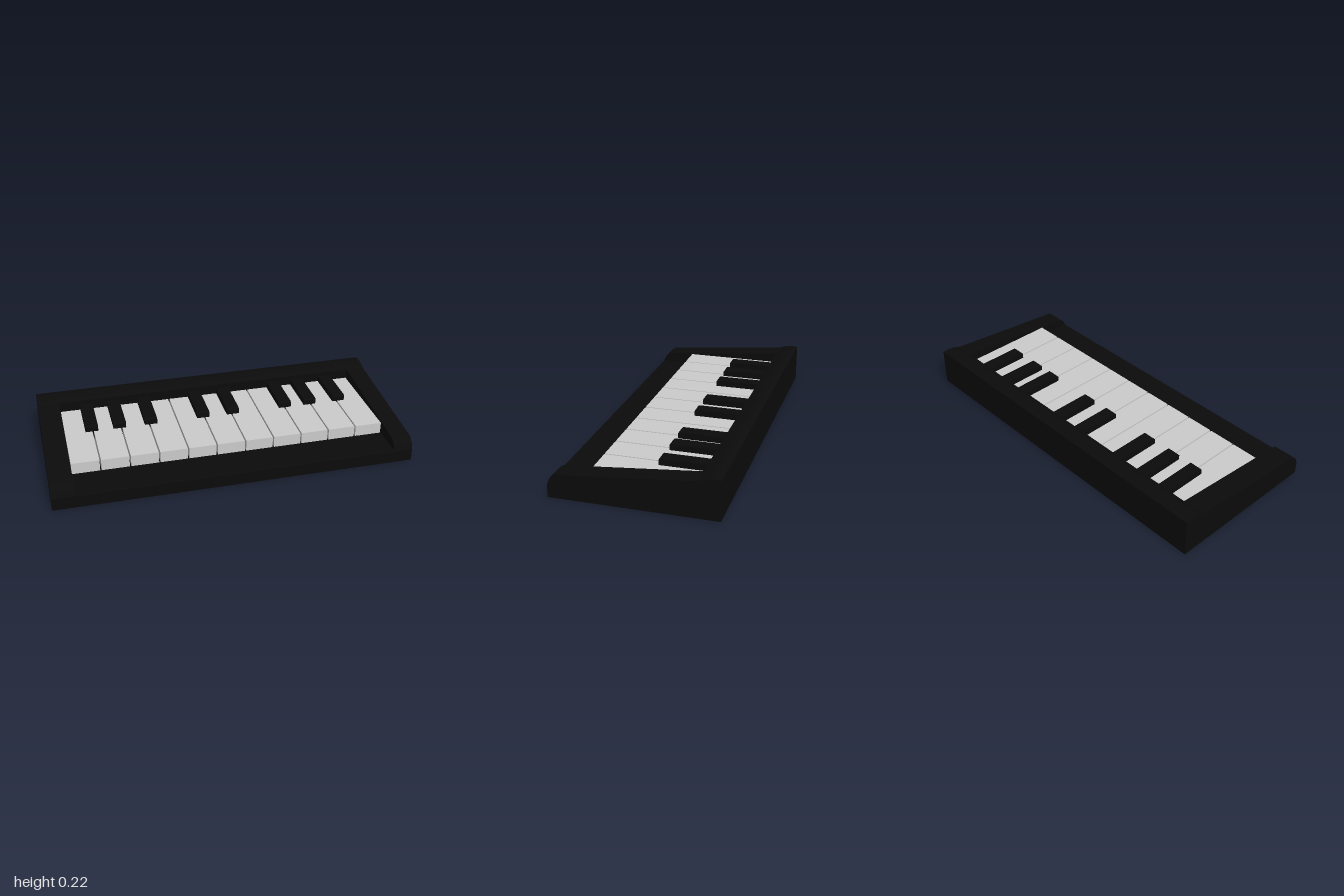
import * as THREE from 'three';

const black = new THREE.MeshStandardMaterial({ color: 0x0b0b0b });
const white = new THREE.MeshStandardMaterial({ color: 0xcccccc });

// Extrudes a side profile of [z, y] points across x from x0 to x1.
function profileMesh(name, points, x0, x1) {
  const shape = new THREE.Shape(points.map(([z, y]) => new THREE.Vector2(z, y)));
  const geometry = new THREE.ExtrudeGeometry(shape, { depth: x1 - x0, bevelEnabled: false });
  geometry.rotateY(-Math.PI / 2).translate(x1, 0, 0);
  const mesh = new THREE.Mesh(geometry, black);
  mesh.name = name;
  return mesh;
}

export function createModel() {
  const model = new THREE.Group();
  model.name = 'keyboard';

  const wellLeft = 0.893, wellRight = -0.875; // key well limits in x
  const keyBack = -0.325, keyFront = 0.24;
  const floorY = 0.075, whiteTop = 0.14, blackTop = 0.175;

  // Rounded ridge along the back, and the curved nose of the cheeks
  const ridge = [[keyBack, 0.197], [-0.352, 0.208], [-0.38, 0.214], [-0.41, 0.216], [-0.44, 0.213]];
  const nose = [[0.44, 0.07], [0.425, 0.105], [0.397, 0.13]];

  // Case: two cheeks with the full profile, and a low tray with the back rail between them
  const cheek = [[-0.44, 0], [0.44, 0], ...nose, ...ridge];
  const tray = [[-0.44, 0], [0.44, 0], [0.44, 0.07], [0.437, floorY], [keyBack, floorY], ...ridge];
  const body = new THREE.Group();
  body.name = 'case';
  body.add(
    profileMesh('rightCheek', cheek, -1, wellRight),
    profileMesh('leftCheek', cheek, wellLeft, 1),
    profileMesh('trayAndBackRail', tray, wellRight, wellLeft),
  );
  model.add(body);

  // White keys
  const count = 11, gap = 0.008;
  const pitch = (0.89 - -0.872 + gap) / count;
  const whiteGeometry = new THREE.BoxGeometry(pitch - gap, whiteTop - floorY + 0.005, keyFront - keyBack);
  const whiteKeys = new THREE.Group();
  whiteKeys.name = 'whiteKeys';
  for (let i = 0; i < count; i++) {
    const key = new THREE.Mesh(whiteGeometry, white);
    key.name = 'whiteKey';
    key.position.set(-0.872 - gap / 2 + pitch * (i + 0.5), (whiteTop + floorY - 0.005) / 2, (keyFront + keyBack) / 2);
    whiteKeys.add(key);
  }
  model.add(whiteKeys);

  // Black keys with a slightly sloped front edge
  const blackProfile = [[keyBack, floorY], [-0.063, floorY], [-0.063, 0.168], [-0.07, blackTop], [keyBack, blackTop]];
  const blackKeys = new THREE.Group();
  blackKeys.name = 'blackKeys';
  for (const x of [-0.722, -0.564, -0.385, -0.08, 0.096, 0.412, 0.564, 0.743]) {
    blackKeys.add(profileMesh('blackKey', blackProfile, x - 0.036, x + 0.036));
  }
  model.add(blackKeys);

  return model;
}
